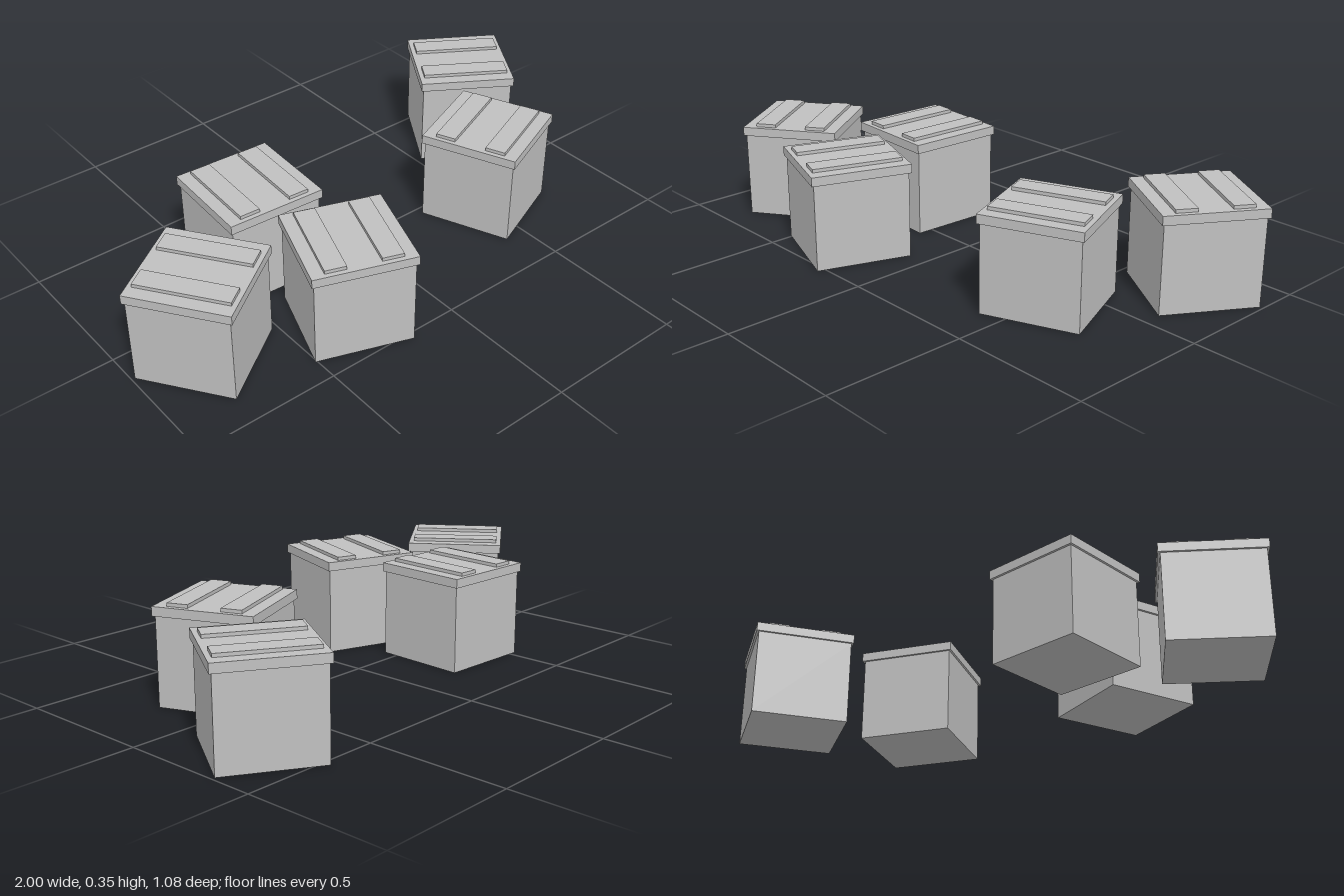
import * as THREE from 'three';

const grey = new THREE.MeshStandardMaterial({ color: 0xc0c0c0 });
grey.name = 'plain grey';

// Box standing on height y
function slab(name, w, h, d, x, y) {
  const mesh = new THREE.Mesh(new THREE.BoxGeometry(w, h, d), grey);
  mesh.name = name;
  mesh.position.set(x, y + h / 2, 0);
  return mesh;
}

// Crate with an overhanging lid and two battens running along local z
function createCrate() {
  const crate = new THREE.Group();
  crate.add(slab('crateBody', 0.337, 0.309, 0.337, 0, 0));
  crate.add(slab('crateLid', 0.353, 0.032, 0.353, 0, 0.309));
  for (const side of [-1, 1]) {
    crate.add(slab('lidBatten', 0.073, 0.012, 0.319, side * 0.094, 0.341));
  }
  return crate;
}

// Scattered crates: x, z, turn about y
const placements = [
  [-0.754, 0.158, 0.613],
  [-0.367, -0.122, -0.052],
  [-0.291, 0.312, -0.341],
  [0.508, 0.121, 1.963],
  [0.756, -0.297, 1.012],
];

export function createModel() {
  const model = new THREE.Group();
  model.name = 'crateGroup';
  placements.forEach(([x, z, turn], i) => {
    const crate = createCrate();
    crate.name = `crate${i + 1}`;
    crate.position.set(x, 0, z);
    crate.rotation.y = turn;
    model.add(crate);
  });
  return model;
}
